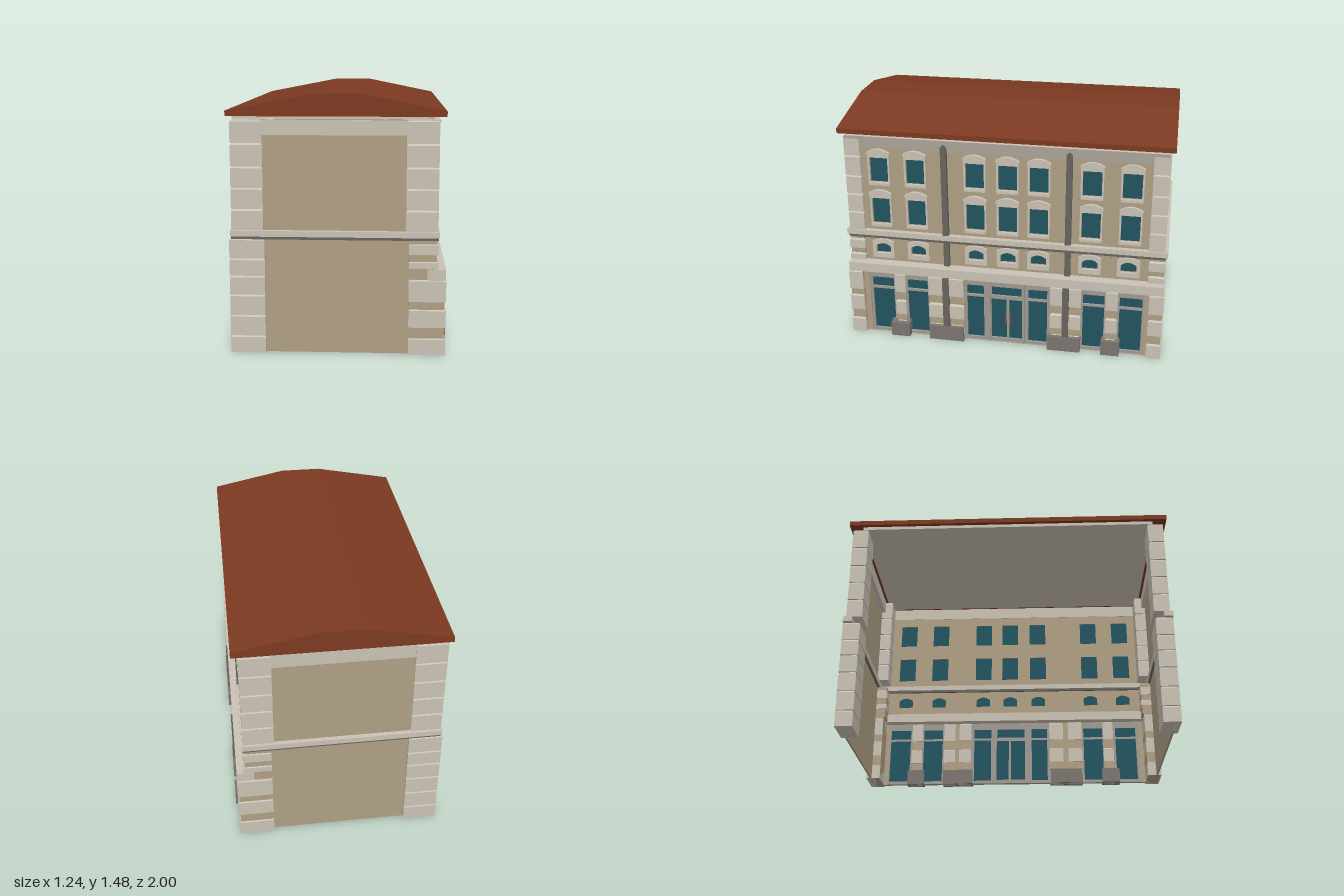
import * as THREE from 'three';

const mat = (name, color) => {
  const m = new THREE.MeshStandardMaterial({ color, side: THREE.DoubleSide });
  m.name = name;
  return m;
};

export function createModel() {
  const stone = mat('pale stone', 0xcac2b5), tan = mat('tan plaster', 0xaf9f84);
  const iron = mat('dark grey', 0x686460), plinth = mat('plinth grey', 0x7b756f);
  const trim = mat('frame grey', 0xa09a92), glass = mat('teal glass', 0x22545f);
  const tile = mat('roof red', 0x7c3921), brass = mat('handle brown', 0x7a4b3c);
  const building = new THREE.Group();
  building.name = 'building';

  const add = (name, geometry, material) => {
    const m = new THREE.Mesh(geometry, material);
    m.name = name;
    building.add(m);
    return m;
  };
  // Box given by its limits on each axis
  const box = (name, material, x0, x1, y0, y1, z0, z1) => {
    const m = add(name, new THREE.BoxGeometry(x1 - x0, y1 - y0, Math.abs(z1 - z0)), material);
    m.position.set((x0 + x1) / 2, (y0 + y1) / 2, (z0 + z1) / 2);
    return m;
  };
  // Stone block with a bevel around its top edge
  const block = (name, material, x0, x1, y0, y1, z0, z1) => {
    const w = x1 - x0, h = y1 - y0, d = Math.abs(z1 - z0), bevel = 0.01;
    const g = new THREE.BoxGeometry(w, h, d, 1, 2, 1);
    const p = g.attributes.position;
    for (let i = 0; i < p.count; i++) {
      const y = p.getY(i);
      if (Math.abs(y) < 1e-6) p.setY(i, h / 2 - bevel);
      else if (y > 0) {
        p.setX(i, p.getX(i) - Math.sign(p.getX(i)) * bevel);
        p.setZ(i, p.getZ(i) - Math.sign(p.getZ(i)) * bevel);
      }
    }
    const flat = g.toNonIndexed();
    flat.computeVertexNormals();
    add(name, flat, material).position.set((x0 + x1) / 2, (y0 + y1) / 2, (z0 + z1) / 2);
  };
  // Outline on the facade, drawn in (-z, y) and pushed out along +x
  const facade = (name, material, shape, x0, x1) => {
    const g = new THREE.ExtrudeGeometry(shape, { depth: x1 - x0, bevelEnabled: false, curveSegments: 6 });
    g.rotateY(Math.PI / 2);
    g.translate(x0, 0, 0);
    return add(name, g, material);
  };
  // Rectangle with an optional arched top of the given rise
  const panel = (u, w, y0, y1, rise = 0, T = THREE.Shape) => {
    const s = new T();
    s.moveTo(u - w / 2, y0);
    s.lineTo(u + w / 2, y0);
    s.lineTo(u + w / 2, y1);
    if (rise) s.quadraticCurveTo(u, y1 + rise * 2, u - w / 2, y1);
    else s.lineTo(u - w / 2, y1);
    s.closePath();
    return s;
  };
  const hole = (...a) => panel(...a, THREE.Path);

  // Roof
  const roof = new THREE.Shape();
  [[-0.62, 1.35], [0.595, 1.35], [0.595, 1.38], [0.13, 1.475], [-0.13, 1.475], [-0.62, 1.38]]
    .forEach(([x, y], i) => (i ? roof.lineTo(x, y) : roof.moveTo(x, y)));
  const roofGeo = new THREE.ExtrudeGeometry(roof, { depth: 2, bevelEnabled: false });
  roofGeo.translate(0, 0, -1);
  add('roof', roofGeo, tile);
  box('cornice', stone, -0.595, 0.5, 1.33, 1.35, -0.915, 0.915);

  // Both end walls with their corner piers
  const lowerJoints = [0, 0.1, 0.22, 0.34, 0.45, 0.55, 0.665];
  const upperJoints = [0.71, 0.83, 0.95, 1.07, 1.2, 1.33];
  for (const s of [1, -1]) {
    box('endWall', tan, -0.5, 0.5, 0, 1.33, s * 0.955, s * 0.967);
    box('endFrieze', stone, -0.575, 0.54, 1.245, 1.328, s * 0.93, s * 0.972);
    box('endMoulding', stone, -0.605, 0.565, 0.677, 0.71, s * 0.94, s * 0.995);
    box('endMouldingShadow', iron, -0.6, 0.56, 0.66, 0.677, s * 0.945, s * 0.985);
    for (let i = 0; i < 6; i++)
      block('backPierLower', stone, -0.612, -0.412, lowerJoints[i], lowerJoints[i + 1], s * 0.885, s * 0.99);
    for (let i = 0; i < 5; i++) {
      block('backPierUpper', stone, -0.6, -0.42, upperJoints[i], upperJoints[i + 1], s * 0.88, s * 0.977);
      block('frontPierUpper', stone, 0.378, 0.558, upperJoints[i], upperJoints[i + 1], s * 0.88, s * 0.977);
    }
    // Banded front corner: stone blocks with plaster between
    box('frontPierCore', tan, 0.398, 0.597, 0, 0.44, s * 0.9, s * 0.984);
    box('frontPierCoreMiddle', tan, 0.398, 0.552, 0.44, 0.665, s * 0.89, s * 0.98);
    for (const [y0, y1] of [[0, 0.1], [0.16, 0.268], [0.31, 0.44]])
      block('frontPierBlock', stone, 0.396, 0.606, y0, y1, s * 0.9, s * 0.99);
    for (const [y0, y1] of [[0.5, 0.545], [0.58, 0.645]])
      block('frontPierBlock', stone, 0.396, 0.562, y0, y1, s * 0.885, s * 0.985);
  }

  // Shopfront wall with openings; each entry is [centre, width] in -z
  const shops = [[-0.778, 0.17], [-0.552, 0.15], [0.025, 0.54], [0.565, 0.15], [0.793, 0.16]];
  const shopWall = panel(0, 1.9, 0, 0.44);
  for (const [u, w] of shops) shopWall.holes.push(hole(u, w, 0.001, 0.432, 0));
  facade('shopWall', tan, shopWall, 0.555, 0.58);
  // Glazed frames: [centre, width, panes as [centre, width, bottom, top]]
  const bay = (u, w) => [[u, w, 0.02, 0.31], [u, w, 0.325, 0.39]];
  const glazing = [
    [-0.778, 0.17, bay(-0.778, 0.14)], [-0.552, 0.15, bay(-0.552, 0.132)],
    [0.565, 0.15, bay(0.565, 0.132)], [0.793, 0.16, bay(0.793, 0.138)],
    [0.025, 0.54, [...bay(-0.178, 0.108), ...bay(0.218, 0.118),
      [-0.028, 0.098, 0.025, 0.305], [0.078, 0.084, 0.025, 0.305], [0.022, 0.19, 0.33, 0.39]]],
  ];
  for (const [u, w, panes] of glazing) {
    const frame = panel(u, w, 0, 0.432);
    for (const p of panes) frame.holes.push(hole(...p, 0));
    facade('shopFrame', trim, frame, 0.55, 0.572);
    for (const p of panes) facade('shopPane', glass, panel(...p), 0.554, 0.56);
  }
  for (const u of [-0.09, 0.13]) box('doorPost', trim, 0.56, 0.58, 0, 0.432, -u - 0.007, -u + 0.007);
  for (const z of [-0.015, -0.045]) box('doorHandle', brass, 0.572, 0.582, 0.13, 0.21, z - 0.004, z + 0.004);

  // Banded columns between the shopfronts
  for (const [z0, z1] of [[0.625, 0.69], [0.38, 0.472], [0.25, 0.342], [-0.38, -0.3], [-0.488, -0.412], [-0.712, -0.642]]) {
    box('columnCore', tan, 0.55, 0.59, 0, 0.44, z0, z1);
    for (const [y0, y1] of [[0, 0.1], [0.15, 0.25], [0.31, 0.44]])
      block('columnBlock', stone, 0.545, 0.602, y0, y1, z0 - 0.002, z1 + 0.002);
  }
  // Plinths at the column feet
  for (const [z0, z1] of [[0.605, 0.725], [0.25, 0.472], [-0.49, -0.285], [-0.735, -0.62]])
    box('columnPlinth', plinth, 0.54, 0.62, 0, 0.097, z0, z1);

  // Ledge and mouldings along the facade
  box('shopLedge', stone, 0.5, 0.604, 0.438, 0.497, -0.985, 0.985);
  box('facadeMoulding', stone, 0.5, 0.566, 0.677, 0.71, -0.995, 0.995);
  box('facadeMouldingShadow', iron, 0.5, 0.561, 0.66, 0.677, -0.985, 0.985);

  // Upper facade wall with window openings
  const columns = [-0.77, -0.543, -0.175, 0.025, 0.215, 0.53, 0.765];
  const rows = [[0.755, 0.925], [1.03, 1.19]];
  const wall = panel(0, 1.86, 0.48, 1.33);
  for (const u of columns) {
    wall.holes.push(hole(u, 0.095, 0.55, 0.6, 0.02));
    for (const [y0, y1] of rows) wall.holes.push(hole(u, 0.114, y0, y1, 0));
  }
  facade('upperWall', tan, wall, 0.512, 0.535);

  for (const u of columns) {
    // Small arched window
    const small = panel(u, 0.138, 0.52, 0.63, 0.018);
    small.holes.push(hole(u, 0.095, 0.55, 0.6, 0.02));
    facade('smallWindowFrame', stone, small, 0.53, 0.55);
    facade('smallWindowPane', glass, panel(u, 0.1, 0.545, 0.602, 0.02), 0.517, 0.523);
    // Tall windows with sill and curved pediment
    for (const [y0, y1] of rows) {
      const frame = panel(u, 0.136, y0 - 0.012, y1 + 0.025);
      frame.holes.push(hole(u, 0.114, y0, y1, 0));
      facade('windowFrame', stone, frame, 0.53, 0.547);
      facade('windowPane', glass, panel(u, 0.116, y0, y1), 0.517, 0.523);
      box('windowSill', stone, 0.53, 0.553, y0 - 0.018, y0 - 0.003, -u - 0.065, -u + 0.065);
      facade('windowPediment', stone, panel(u, 0.142, y1 + 0.022, y1 + 0.034, 0.023), 0.53, 0.556);
    }
  }

  // Sloping frieze under the eaves
  const cove = new THREE.Shape();
  cove.moveTo(0.51, 1.25);
  cove.lineTo(0.536, 1.25);
  cove.lineTo(0.566, 1.33);
  cove.lineTo(0.51, 1.33);
  const coveGeo = new THREE.ExtrudeGeometry(cove, { depth: 1.94, bevelEnabled: false });
  coveGeo.translate(0, 0, -0.97);
  add('facadeFrieze', coveGeo, stone);

  // Dark pilasters, pointed at the top
  for (const z of [0.361, -0.395]) {
    box('pilasterLower', iron, 0.58, 0.614, 0.097, 0.44, z - 0.02, z + 0.02);
    box('pilasterMiddle', iron, 0.53, 0.556, 0.497, 0.66, z - 0.018, z + 0.018);
    const top = new THREE.Shape();
    [[-0.018, 0.71], [0.018, 0.71], [0.018, 1.285], [0, 1.305], [-0.018, 1.285]]
      .forEach(([u, y], i) => (i ? top.lineTo(u - z, y) : top.moveTo(u - z, y)));
    facade('pilasterUpper', iron, top, 0.53, 0.562);
  }
  return building;
}
